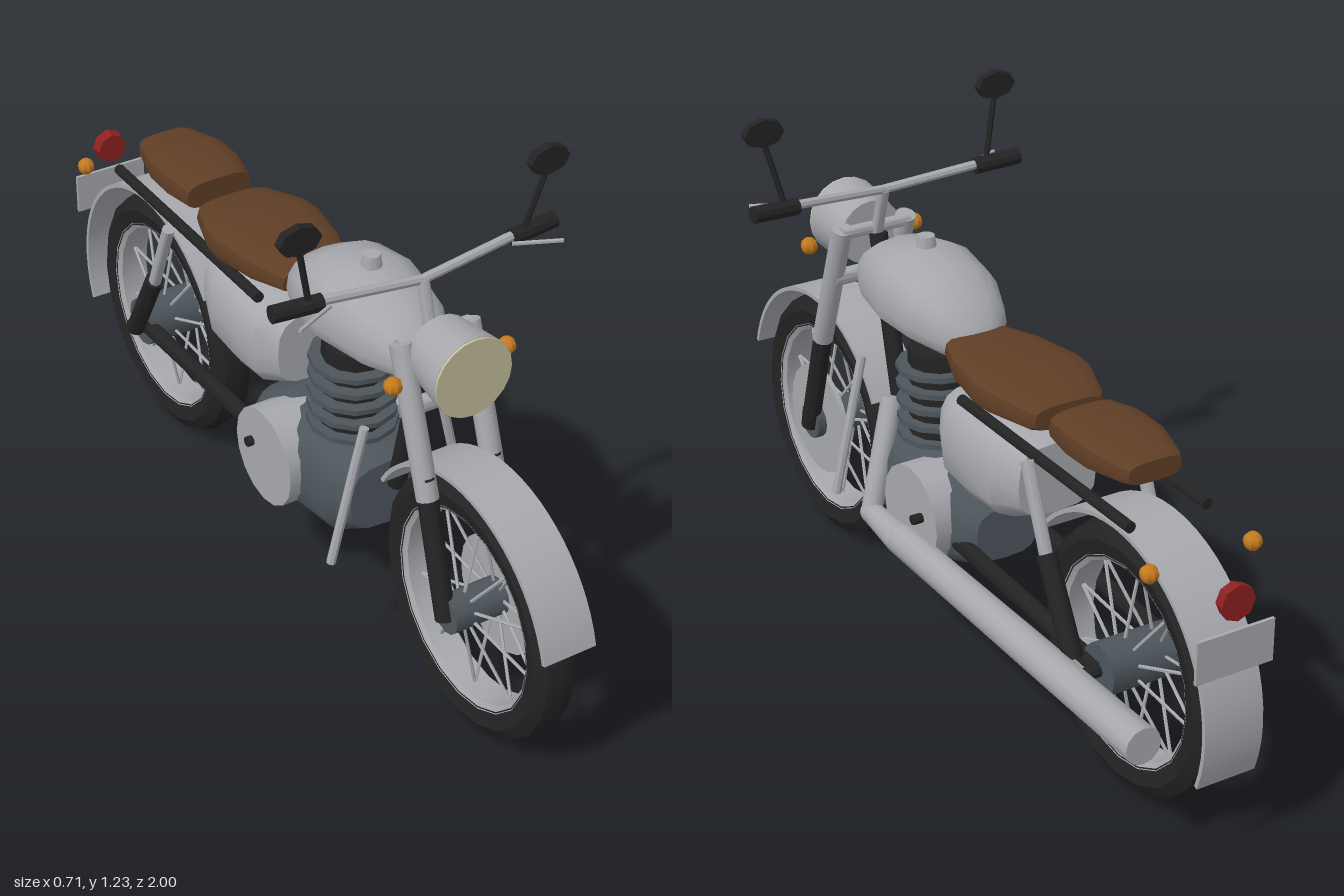
import * as THREE from 'three';
import { toCreasedNormals } from 'three/addons/utils/BufferGeometryUtils.js';

const mat = (name, color) => {
  const m = new THREE.MeshStandardMaterial({ color });
  m.name = name;
  return m;
};

// Lofts rounded sections [z, halfWidth, yBottom, yMiddle, yTop], listed front to back.
function loft(sections, power = 0.8, n = 16) {
  const pos = [], index = [];
  const round = (v) => Math.sign(v) * Math.abs(v) ** power;
  for (const [z, w, yb, ym, yt] of sections) {
    for (let j = 0; j < n; j++) {
      const a = (j / n) * Math.PI * 2, s = round(Math.sin(a));
      pos.push(w * round(Math.cos(a)), ym + s * (s > 0 ? yt - ym : ym - yb), z);
    }
  }
  const last = sections.length - 1, c0 = sections.length * n;
  pos.push(0, sections[0][3], sections[0][0], 0, sections[last][3], sections[last][0]);
  for (let j = 0; j < n; j++) {
    const k = (j + 1) % n;
    for (let i = 0; i < last; i++) {
      const a = i * n + j, b = i * n + k, c = a + n, d = b + n;
      index.push(a, c, b, b, c, d);
    }
    index.push(c0, j, k, c0 + 1, last * n + k, last * n + j);
  }
  const g = new THREE.BufferGeometry();
  g.setAttribute('position', new THREE.Float32BufferAttribute(pos, 3));
  g.setIndex(index);
  return g;
}

export function createModel() {
  const model = new THREE.Group();
  model.name = 'motorcycle';
  const silver = mat('silver', 0xa6a8ad), black = mat('black', 0x232323);
  const iron = mat('engine grey', 0x4d565c), brown = mat('brown leather', 0x603e26);
  const amber = mat('amber', 0xc47a1e), red = mat('red', 0x8e2020), cream = mat('cream lens', 0xc4be9c);

  const add = (name, geo, material, parent = model) => {
    const m = new THREE.Mesh(toCreasedNormals(geo, 0.6), material);
    m.name = name;
    parent.add(m);
    return m;
  };
  // Round bar from a to b, radius ra at a and rb at b.
  const rod = (name, material, a, b, ra, rb = ra, sides = 12, parent = model) => {
    const A = new THREE.Vector3(...a), B = new THREE.Vector3(...b);
    const dir = B.clone().sub(A);
    const m = add(name, new THREE.CylinderGeometry(rb, ra, dir.length(), sides), material, parent);
    m.position.copy(A).add(B).multiplyScalar(0.5);
    m.quaternion.setFromUnitVectors(new THREE.Vector3(0, 1, 0), dir.normalize());
    return m;
  };
  const pair = (fn) => [1, -1].forEach((s) => fn(s, s > 0 ? 'left' : 'right'));
  const ring = (pts) => new THREE.LatheGeometry(pts.map((p) => new THREE.Vector2(...p)), 20).rotateZ(Math.PI / 2);

  // Wheels
  const wheel = (name, z) => {
    const g = new THREE.Group();
    g.name = name;
    g.position.set(0, 0.31, z);
    model.add(g);
    add('tyre', ring([[0.235, -0.042], [0.275, -0.052], [0.303, -0.034], [0.311, 0],
      [0.303, 0.034], [0.275, 0.052], [0.235, 0.042]]), black, g);
    add('rim', ring([[0.225, -0.034], [0.24, -0.044], [0.24, 0.044], [0.225, 0.034], [0.225, -0.034]]), silver, g);
    for (let i = 0; i < 10; i++) {
      const a = ((i + 0.5) / 10) * Math.PI * 2, c = Math.cos(a), s = Math.sin(a);
      pair((k) => rod('spoke', silver, [k * 0.04, s * 0.03, c * 0.03], [0, s * 0.23, c * 0.23], 0.004, 0.004, 5, g));
    }
    return g;
  };
  const front = wheel('frontWheel', 0.675), rear = wheel('rearWheel', -0.65);
  rod('frontHub', iron, [-0.085, 0, 0], [0.085, 0, 0], 0.045, 0.045, 12, front);
  rod('brakeDisc', silver, [0.05, 0, 0], [0.062, 0, 0], 0.14, 0.14, 20, front);
  rod('rearHub', iron, [-0.1, 0, 0], [0.1, 0, 0], 0.06, 0.06, 12, rear);
  rod('rearAxle', black, [-0.135, 0, 0], [0.135, 0, 0], 0.015, 0.015, 8, rear);

  // Fenders
  const fender = (name, z, r, from, to, width) => {
    const d = Math.PI / 180, s = new THREE.Shape();
    s.absarc(0, 0, r, from * d, to * d, false);
    s.absarc(0, 0, r - 0.01, to * d, from * d, true);
    const g = new THREE.ExtrudeGeometry(s, { depth: width, bevelEnabled: false, curveSegments: 12 });
    g.translate(0, 0, -width / 2).rotateY(-Math.PI / 2);
    add(name, g, silver).position.set(0, 0.31, z);
  };
  fender('frontFender', 0.675, 0.337, 15, 150, 0.13);
  fender('rearFender', -0.65, 0.347, 37, 200, 0.145);

  // Fork, steering and frame
  pair((s, side) => {
    rod(side + 'ForkUpper', silver, [s * 0.085, 0.9, 0.48], [s * 0.085, 0.57, 0.595], 0.025);
    rod(side + 'ForkLower', black, [s * 0.085, 0.62, 0.58], [s * 0.085, 0.3, 0.675], 0.023);
    rod(side + 'Swingarm', black, [s * 0.095, 0.335, 0.02], [s * 0.095, 0.31, -0.65], 0.02);
    rod(side + 'Rail', black, [s * 0.095, 0.7, -0.08], [s * 0.095, 0.7, -0.745], 0.013);
    rod(side + 'ShockUpper', silver, [s * 0.138, 0.715, -0.42], [s * 0.138, 0.5, -0.51], 0.015);
    rod(side + 'ShockLower', black, [s * 0.138, 0.53, -0.5], [s * 0.138, 0.33, -0.61], 0.023);
    rod(side + 'CrashBar', silver, [s * 0.1, 0.62, 0.37], [s * 0.18, 0.28, 0.365], 0.011, 0.011, 8);
    rod(side + 'FootPeg', black, [s * 0.1, 0.38, 0], [s * 0.18, 0.38, 0], 0.012, 0.012, 8);
  });
  rod('downTube', black, [0, 0.88, 0.46], [0, 0.42, 0.35], 0.022);
  rod('lowerYoke', silver, [-0.09, 0.76, 0.52], [0.09, 0.76, 0.52], 0.02);
  rod('upperYoke', silver, [-0.09, 0.89, 0.475], [0.09, 0.89, 0.475], 0.015);
  rod('steeringStem', silver, [0, 0.87, 0.47], [0, 1, 0.43], 0.014);

  // Handlebar, grips, levers and mirrors
  pair((s, side) => {
    rod(side + 'Handlebar', silver, [0, 1, 0.43], [s * 0.26, 1.02, 0.41], 0.011, 0.011, 8);
    rod(side + 'Grip', black, [s * 0.235, 1.015, 0.412], [s * 0.35, 1.02, 0.405], 0.02, 0.02, 10);
    rod(side + 'Lever', silver, [s * 0.225, 1.012, 0.43], [s * 0.325, 1.012, 0.475], 0.005, 0.005, 6);
    rod(side + 'MirrorStalk', black, [s * 0.265, 1.02, 0.412], [s * 0.303, 1.18, 0.435], 0.007, 0.007, 6);
    const m = rod(side + 'Mirror', black, [s * 0.303, 1.198, 0.425], [s * 0.303, 1.198, 0.445], 0.05, 0.05, 8);
    m.scale.set(1, 1, 0.66);
  });

  // Lights
  rod('headlightShell', silver, [0, 0.867, 0.495], [0, 0.867, 0.62], 0.08, 0.095, 20);
  rod('headlightLens', cream, [0, 0.867, 0.618], [0, 0.867, 0.626], 0.094, 0.094, 20);
  rod('tailLight', red, [0, 0.62, -0.963], [0, 0.62, -0.99], 0.038, 0.042, 8);
  pair((s, side) => {
    for (const [where, x, y, z] of [['Front', 0.142, 0.848, 0.54], ['Rear', 0.127, 0.66, -0.86]]) {
      const lamp = add(side + where + 'Indicator', new THREE.SphereGeometry(0.021, 8, 6), amber);
      lamp.position.set(s * x, y, z);
    }
  });
  add('numberPlate', new THREE.BoxGeometry(0.19, 0.1, 0.008), silver).position.set(0, 0.505, -0.984);

  // Fuel tank and cap
  add('fuelTank', loft([
    [0.475, 0.045, 0.78, 0.8, 0.83], [0.43, 0.075, 0.765, 0.805, 0.865], [0.36, 0.11, 0.755, 0.81, 0.91],
    [0.23, 0.135, 0.75, 0.81, 0.935], [0.12, 0.125, 0.745, 0.805, 0.917], [0.04, 0.095, 0.742, 0.795, 0.87],
    [0, 0.06, 0.742, 0.78, 0.825], [-0.02, 0.025, 0.745, 0.77, 0.795]]), silver);
  rod('fuelCap', silver, [0, 0.915, 0.235], [0, 0.957, 0.235], 0.026, 0.02);

  // Seats
  add('riderSeat', loft([
    [0.01, 0.085, 0.755, 0.775, 0.81], [-0.08, 0.12, 0.745, 0.775, 0.818], [-0.2, 0.14, 0.737, 0.775, 0.822],
    [-0.25, 0.135, 0.736, 0.775, 0.82], [-0.35, 0.1, 0.735, 0.77, 0.803], [-0.368, 0.085, 0.74, 0.768, 0.795]], 0.6), brown);
  add('pillionSeat', loft([
    [-0.42, 0.085, 0.745, 0.775, 0.812], [-0.5, 0.1, 0.742, 0.78, 0.825], [-0.58, 0.1, 0.745, 0.78, 0.823],
    [-0.675, 0.075, 0.752, 0.78, 0.808], [-0.69, 0.065, 0.755, 0.78, 0.803]], 0.6), brown);

  // Side cover
  add('sideCover', loft([
    [0.01, 0.1, 0.505, 0.59, 0.685], [-0.05, 0.13, 0.475, 0.585, 0.7], [-0.14, 0.135, 0.47, 0.585, 0.7],
    [-0.25, 0.13, 0.475, 0.585, 0.7], [-0.327, 0.1, 0.51, 0.59, 0.68]], 0.65), silver);

  // Engine
  add('crankcase', loft([
    [0.32, 0.1, 0.29, 0.375, 0.46], [0.25, 0.13, 0.245, 0.365, 0.485], [0.1, 0.145, 0.235, 0.36, 0.49],
    [0, 0.14, 0.24, 0.36, 0.485], [-0.09, 0.11, 0.27, 0.355, 0.44], [-0.12, 0.08, 0.29, 0.355, 0.42]], 0.65), iron);
  rod('engineCover', silver, [-0.165, 0.365, 0.05], [0.155, 0.365, 0.05], 0.12, 0.12, 16);
  const cylinder = new THREE.Group();
  cylinder.name = 'engineCylinder';
  cylinder.position.set(0, 0.45, 0.165);
  cylinder.rotation.x = 0.04;
  model.add(cylinder);
  rod('barrel', black, [0, 0, 0], [0, 0.255, 0], 0.082, 0.075, 12, cylinder);
  for (let i = 0; i < 5; i++) {
    rod('coolingFin', iron, [0, 0.035 + i * 0.042, 0], [0, 0.048 + i * 0.042, 0], 0.105, 0.105, 12, cylinder);
  }

  // Exhaust
  rod('exhaustHeader', silver, [0.085, 0.56, 0.255], [0.175, 0.305, 0.2], 0.025);
  const elbow = add('exhaustElbow', new THREE.SphereGeometry(0.027, 12, 8), silver);
  elbow.position.set(0.175, 0.305, 0.2);
  rod('exhaustPipe', silver, [0.175, 0.305, 0.2], [0.178, 0.305, 0.05], 0.026, 0.038);
  rod('muffler', silver, [0.178, 0.305, 0.05], [0.183, 0.315, -0.94], 0.038, 0.043);
  return model;
}
